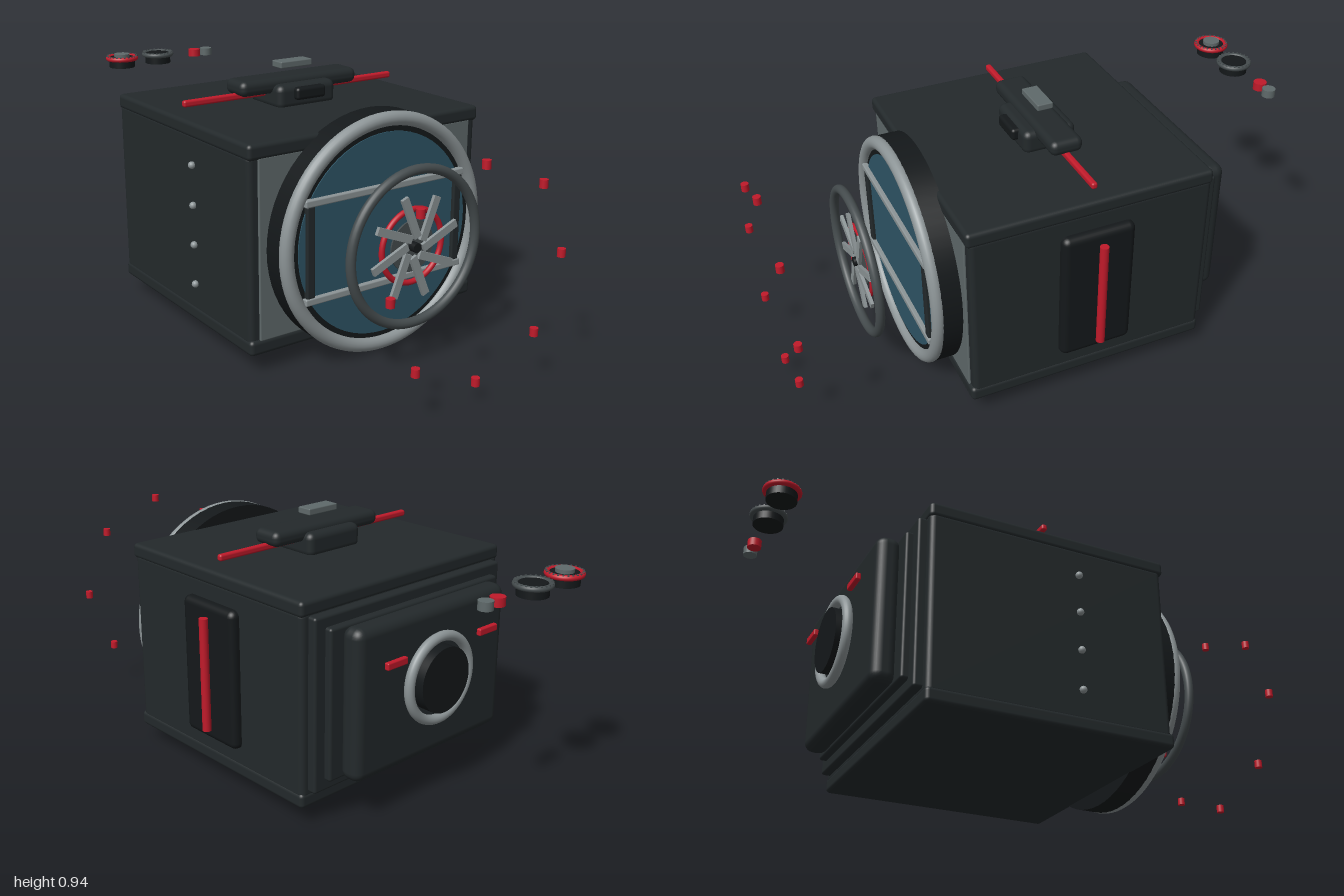
import * as THREE from 'three';
import { RoundedBoxGeometry } from 'three/addons/geometries/RoundedBoxGeometry.js';

const mat = (color) => new THREE.MeshStandardMaterial({ color });
const M = {
  dark: mat(0x23292b), rubber: mat(0x14181a), grey: mat(0x5f696a), ring: mat(0x454c4e),
  silver: mat(0x8c9496), red: mat(0xc01a2a), glass: mat(0x2e5566),
};
const CX = -0.025; // camera axis
const CY = 0.43;   // lens axis height

export function createModel() {
  const model = new THREE.Group();
  model.name = 'explodedCamera';

  const add = (name, geometry, material, x, y, z, parent = model) => {
    const mesh = new THREE.Mesh(geometry, material);
    mesh.name = name;
    mesh.position.set(x, y, z);
    parent.add(mesh);
    return mesh;
  };
  // Rounded box given by its limits on each axis
  const block = (name, material, [x0, x1], [y0, y1], [z0, z1], r = 0.01) =>
    add(name, new RoundedBoxGeometry(x1 - x0, y1 - y0, z1 - z0, 3, r), material,
      (x0 + x1) / 2, (y0 + y1) / 2, (z0 + z1) / 2);
  const upright = (name, material, r, h, x, y, z) =>
    add(name, new THREE.CylinderGeometry(r, r, h, 32), material, x, y, z);
  const disc = (name, material, r, h, x, y, z) => {
    const mesh = add(name, new THREE.CylinderGeometry(r, r, h, 64), material, x, y, z);
    mesh.rotation.x = Math.PI / 2;
    return mesh;
  };
  const torus = (name, material, R, r, x, y, z) =>
    add(name, new THREE.TorusGeometry(R, r, 16, 80), material, x, y, z);

  // Body with top and bottom covers and front panel
  block('body', M.dark, [-0.512, 0.462], [0.1, 0.76], [-0.485, 0.425], 0.02);
  block('topCover', M.dark, [-0.515, 0.465], [0.742, 0.797], [-0.487, 0.435], 0.015);
  block('bottomCover', M.dark, [-0.515, 0.465], [0.067, 0.122], [-0.487, 0.435], 0.015);
  block('frontPanel', M.grey, [-0.476, 0.426], [0.115, 0.75], [0.4, 0.432], 0.005);

  // Lens mount with glass and frame
  disc('mountBarrel', M.rubber, 0.424, 0.095, CX, CY, 0.4675);
  torus('mountRim', M.silver, 0.401, 0.025, CX, CY, 0.513);
  disc('glass', M.glass, 0.358, 0.01, CX, CY, 0.514);
  for (const s of [-1, 1]) {
    block('frameRail', M.silver, [CX - 0.338, CX + 0.338],
      [CY + s * 0.17 - 0.0125, CY + s * 0.17 + 0.0125], [0.51, 0.535], 0.005);
    block('framePost', M.dark, [CX + s * 0.315 - 0.016, CX + s * 0.315 + 0.016],
      [CY - 0.16, CY + 0.16], [0.51, 0.532], 0.006);
  }

  // Floating iris: rings, backing disc, blades and hub
  torus('irisRing', M.ring, 0.267, 0.017, CX, CY, 0.677);
  torus('irisRedRing', M.red, 0.128, 0.01, CX, CY, 0.66);
  disc('irisBacking', M.ring, 0.09, 0.006, CX, CY, 0.66);
  for (let i = 0; i < 8; i++) {
    const a = (i * Math.PI) / 4 + 0.2;
    const blade = add('irisBlade', new THREE.BoxGeometry(0.155, 0.028, 0.012), M.silver,
      CX + Math.cos(a) * 0.107, CY + Math.sin(a) * 0.107, 0.676);
    blade.rotation.z = a + 0.2;
  }
  disc('irisHub', M.rubber, 0.017, 0.026, CX, CY, 0.676);

  // Floating marker pegs in a circle
  for (let i = 0; i < 8; i++) {
    const a = (i * Math.PI) / 4;
    upright('markerPeg', M.red, 0.014, 0.028, CX + Math.cos(a) * 0.358, CY + Math.sin(a) * 0.358, 0.985);
  }

  // Viewfinder housing, top bar, accent rod and floating shoe
  block('finderHousing', M.dark, [-0.15, 0.1], [0.785, 0.875], [-0.135, 0.065], 0.025);
  block('finderWindow', M.rubber, [-0.087, 0.04], [0.82, 0.865], [0.05, 0.088], 0.012);
  block('topBar', M.dark, [-0.278, 0.23], [0.84, 0.896], [-0.1, 0.022], 0.024);
  add('accentRod', new RoundedBoxGeometry(0.918, 0.024, 0.022, 3, 0.008), M.red, CX, 0.837, -0.038);
  block('accessoryShoe', M.grey, [-0.093, 0.044], [0.921, 0.945], [-0.069, -0.009], 0.004);

  // Side grip with its red rod
  block('sideGrip', M.rubber, [0.425, 0.495], [0.176, 0.688], [-0.175, 0.1], 0.025);
  upright('gripRod', M.red, 0.016, 0.42, 0.511, 0.43, -0.042);

  // Studs on the other side
  for (const y of [0.65, 0.505, 0.36, 0.213]) {
    add('sideStud', new THREE.SphereGeometry(0.013, 16, 12), M.silver, -0.519, y, 0.075);
  }

  // Stepped back and padded door
  block('backPlate', M.dark, [-0.482, 0.434], [0.125, 0.745], [-0.517, -0.47], 0.01);
  block('backStep', M.dark, [-0.44, 0.39], [0.165, 0.706], [-0.543, -0.5], 0.01);
  block('backDoor', M.dark, [-0.392, 0.345], [0.165, 0.706], [-0.622, -0.535], 0.035);

  // Eyepiece on the door and its tabs
  torus('eyepieceRing', M.silver, 0.15, 0.018, CX, 0.455, -0.643);
  disc('eyepieceLens', M.rubber, 0.118, 0.06, CX, 0.455, -0.643);
  for (const s of [-1, 1]) {
    block('doorTab', M.red, [CX + s * 0.23 - 0.047, CX + s * 0.23 + 0.047], [0.562, 0.588], [-0.664, -0.645], 0.005);
  }

  // Floating dials with knurled edges
  const dial = (x, rim, cap, capRadius, capTop) => {
    const z = -0.933;
    upright('dialBase', M.rubber, 0.053, 0.04, x, 0.823, z);
    const ring = torus('dialRim', rim, 0.057, 0.01, x, 0.84, z);
    ring.rotation.x = Math.PI / 2;
    upright('dialFace', M.rubber, 0.055, 0.01, x, 0.84, z);
    upright('dialCap', cap, capRadius, 0.03, x, capTop - 0.015, z);
    for (let i = 0; i < 24; i++) {
      const a = (i * Math.PI) / 12;
      const ridge = add('dialRidge', new THREE.BoxGeometry(0.008, 0.014, 0.006), M.ring,
        x + Math.cos(a) * 0.06, 0.844, z + Math.sin(a) * 0.06);
      ridge.rotation.y = -a;
    }
  };
  dial(-0.28, M.red, M.grey, 0.032, 0.858);
  dial(-0.112, M.ring, M.rubber, 0.045, 0.847);

  // Floating buttons
  upright('redButton', M.red, 0.025, 0.03, 0.068, 0.827, -0.935);
  upright('greyButton', M.grey, 0.025, 0.03, 0.126, 0.827, -0.935);

  return model;
}
